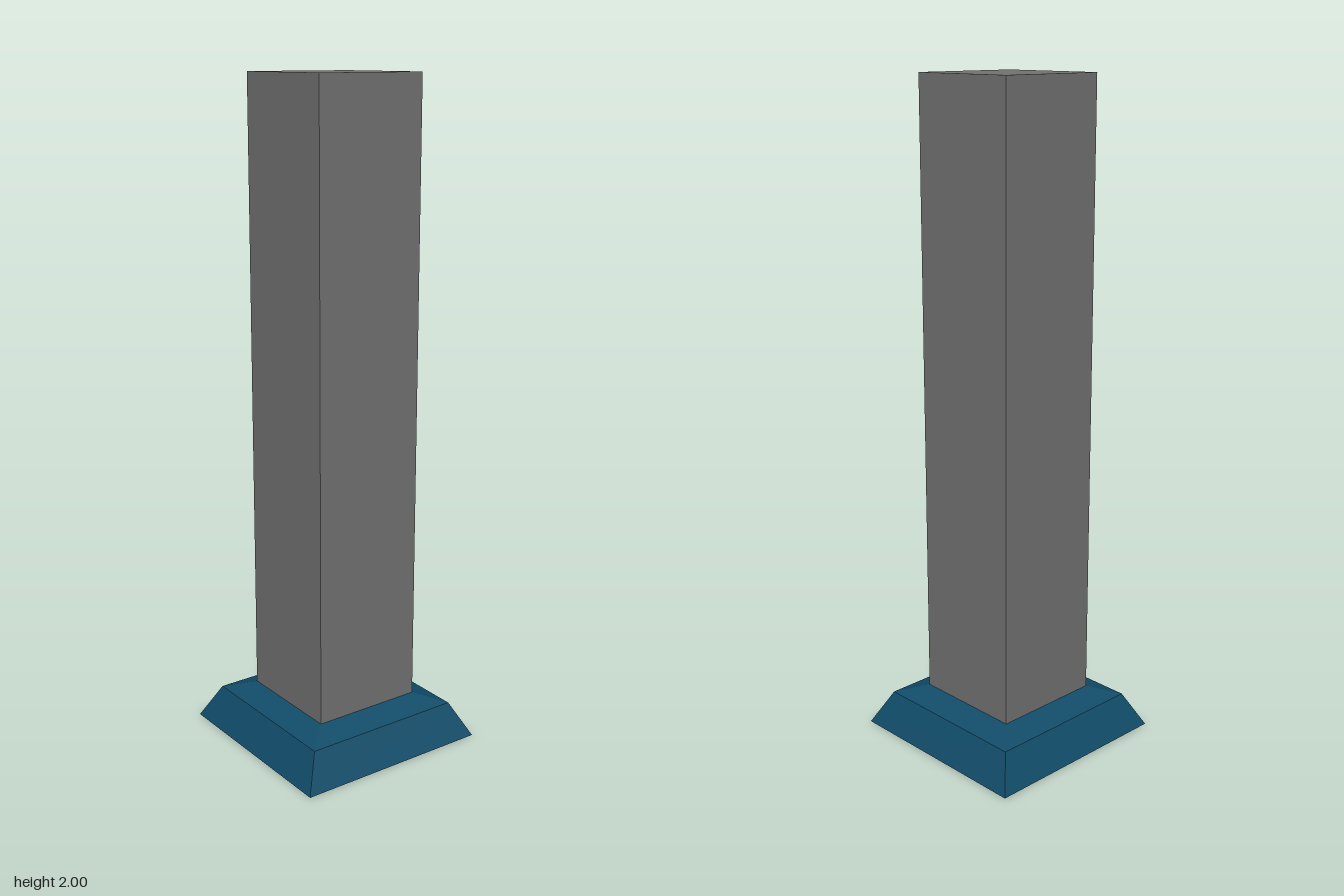
import * as THREE from 'three';

// Square frustum given half-widths and heights, with hard-edged faces
function squareFrustum(bottomHalf, topHalf, y0, y1) {
  const g = new THREE.CylinderGeometry(topHalf * Math.SQRT2, bottomHalf * Math.SQRT2, y1 - y0, 4)
    .rotateY(Math.PI / 4)
    .translate(0, (y0 + y1) / 2, 0)
    .toNonIndexed();
  g.computeVertexNormals();
  return g;
}

export function createModel() {
  const model = new THREE.Group();
  model.name = 'pillar';

  const grey = new THREE.MeshStandardMaterial({ color: 0x727272 });
  grey.name = 'grey';
  const blue = new THREE.MeshStandardMaterial({ color: 0x114c69 });
  blue.name = 'deep blue';

  const add = (name, geometry, material) => {
    const mesh = new THREE.Mesh(geometry, material);
    mesh.name = name;
    model.add(mesh);
  };

  // Steep skirt, then a shallow bevel up to the shaft
  add('baseSkirt', squareFrustum(0.308, 0.254, 0, 0.105), blue);
  add('baseBevel', squareFrustum(0.254, 0.174, 0.105, 0.132), blue);

  // Square shaft
  const bottom = 0.132, top = 2;
  const shaft = new THREE.BoxGeometry(0.348, top - bottom, 0.348);
  shaft.translate(0, (top + bottom) / 2, 0);
  add('shaft', shaft, grey);

  return model;
}
